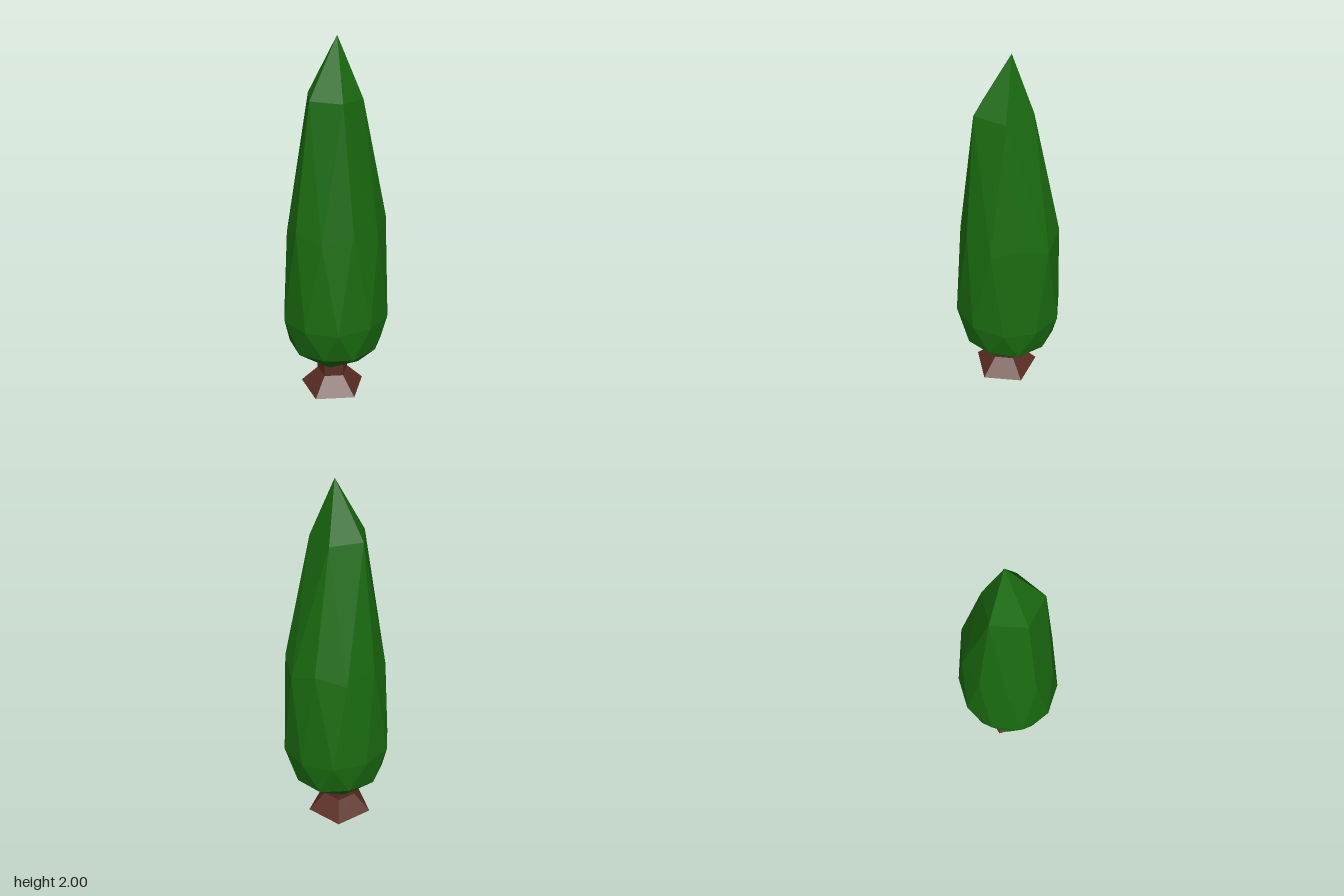
import * as THREE from 'three';

// Ring of n points round the y axis; cx shifts the centre
const ring = (n, startDeg, rx, rz, y, cx = 0) =>
  Array.from({ length: n }, (_, i) => {
    const a = THREE.MathUtils.degToRad(startDeg + (360 / n) * i);
    return [cx + rx * Math.cos(a), Array.isArray(y) ? y[i % 2] : y, rz * Math.sin(a)];
  });

// Crown: a stretched, once-subdivided icosahedron with a leaning tip
function crownGeometry() {
  const tip = [0.017, 2, -0.007];
  const shoulder = [
    [0.09, 1.69, 0.11], [-0.085, 1.7, 0.155], [-0.17, 1.7, 0],
    [-0.06, 1.7, -0.145], [0.1, 1.69, -0.08],
  ];
  const upper = ring(10, 36, 0.278, 0.245, [1.03, 0.97], 0.008);
  const belly = ring(10, 18, 0.305, 0.286, 0.475);
  const lower = ring(10, 36, 0.262, 0.252, [0.29, 0.3]);
  const under = ring(5, 72, 0.147, 0.147, 0.19);
  const base = [0, 0.17, 0];

  const positions = [];
  const tri = (a, b, c) => positions.push(...a, ...b, ...c);

  // Pole fan plus the band joining a ring of five to a ring of ten
  const cap = (pole, five, ten, offset, flip) => {
    const face = flip ? (a, b, c) => tri(a, c, b) : tri;
    for (let i = 0; i < 5; i++) {
      const a = five[i], next = five[(i + 1) % 5];
      const k = 2 * i + offset;
      const before = ten[(k + 9) % 10], same = ten[k % 10], after = ten[(k + 1) % 10];
      face(pole, next, a);
      face(a, same, before);
      face(a, after, same);
      face(a, next, after);
    }
  };
  cap(tip, shoulder, upper, 0, false);
  cap(base, under, lower, 1, true);

  // Zigzag bands above and below the widest ring
  for (let j = 0; j < 10; j++) {
    const k = (j + 1) % 10;
    tri(upper[j], belly[k], belly[j]);
    tri(belly[k], upper[j], upper[k]);
    tri(lower[j], belly[j], belly[k]);
    tri(belly[k], lower[k], lower[j]);
  }
  const geometry = new THREE.BufferGeometry();
  geometry.setAttribute('position', new THREE.Float32BufferAttribute(positions, 3));
  geometry.computeVertexNormals();
  return geometry;
}

export function createModel() {
  const model = new THREE.Group();
  model.name = 'tree';
  const leaf = new THREE.MeshStandardMaterial({ color: 0x1a6b10, flatShading: true });
  const bark = new THREE.MeshStandardMaterial({ color: 0x5c2e24, flatShading: true });

  const add = (name, geometry, material, x = 0, y = 0) => {
    const mesh = new THREE.Mesh(geometry, material);
    mesh.name = name;
    mesh.position.set(x, y, 0);
    model.add(mesh);
  };

  add('crown', crownGeometry(), leaf);
  // Five-sided trunk on a flared foot
  add('trunk', new THREE.CylinderGeometry(0.09, 0.09, 0.1, 5, 1, true), bark, -0.02, 0.15);
  add('trunkFoot', new THREE.CylinderGeometry(0.09, 0.185, 0.1, 5), bark, -0.02, 0.05);
  return model;
}
